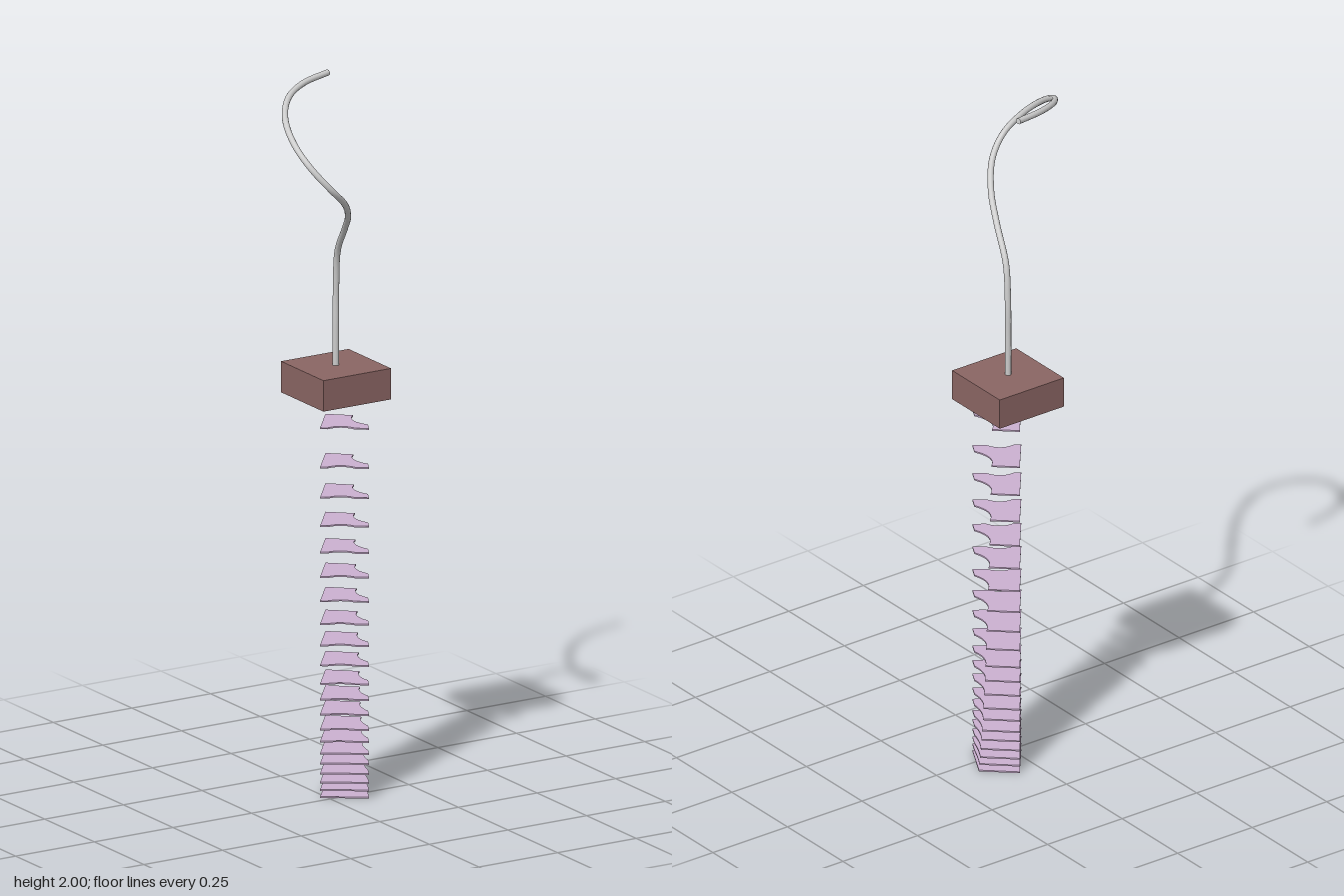
import * as THREE from 'three';

const V2 = (x, z) => new THREE.Vector2(x, -z);
const mix = (a, b, t) => a.clone().lerp(b, t);

// One thin sheet: a turned rectangle whose two front edges are bitten in as t goes 0 -> 1
function sheetGeometry(t) {
  const left = V2(-0.018, -0.022);
  const front = V2(0.09, 0.053);
  const back = V2(0.063, -0.124);
  const wideRight = V2(0.145, -0.05);
  const right = mix(wideRight, V2(0.119, -0.074), t);
  const centre = V2(0.062, -0.045);
  const shape = new THREE.Shape();
  const bite = (p, q, depth) => {
    const c = mix(mix(p, q, 0.5), centre, depth * t);
    shape.lineTo(p.x, p.y);
    shape.quadraticCurveTo(c.x, c.y, q.x, q.y);
  };
  shape.moveTo(left.x, left.y);
  bite(mix(left, front, 0.15), mix(left, front, 0.72), 0.5);
  shape.lineTo(front.x, front.y);
  bite(mix(front, wideRight, 0.3), right, 0.75);
  shape.lineTo(back.x, back.y);
  shape.closePath();
  return new THREE.ExtrudeGeometry(shape, { depth: 0.004, bevelEnabled: false, curveSegments: 6 })
    .rotateX(-Math.PI / 2);
}

export function createModel() {
  const model = new THREE.Group();

  // Block between the hook and the stack
  const block = new THREE.Mesh(
    new THREE.BoxGeometry(0.215, 0.087, 0.214),
    new THREE.MeshStandardMaterial({ color: 0x8a6563 })
  );
  block.name = 'block';
  block.position.set(0.0645, 1.147, -0.073);
  model.add(block);

  // Curling wire hook
  const path = new THREE.CatmullRomCurve3([
    [0.064, 1.18, -0.073], [0.064, 1.3, -0.073], [0.064, 1.41, -0.072], [0.056, 1.515, -0.052],
    [0.033, 1.6, 0.02], [0, 1.66, 0.09], [-0.05, 1.719, 0.15], [-0.105, 1.77, 0.172],
    [-0.15, 1.83, 0.142], [-0.165, 1.884, 0.082], [-0.143, 1.933, 0], [-0.085, 1.966, -0.074],
    [-0.01, 1.983, -0.118], [0.081, 1.992, -0.141]
  ].map(p => new THREE.Vector3(...p)));
  const grey = new THREE.MeshStandardMaterial({ color: 0xcccccc });
  const hook = new THREE.Mesh(new THREE.TubeGeometry(path, 96, 0.0085, 12), grey);
  hook.name = 'hook';
  model.add(hook);

  // Cap at the free end of the hook
  const cap = new THREE.Mesh(new THREE.CircleGeometry(0.0085, 12), grey);
  cap.name = 'hookEnd';
  const tip = path.getPointAt(1);
  cap.position.copy(tip);
  cap.lookAt(tip.clone().add(path.getTangentAt(1)));
  model.add(cap);

  // Stack of hanging sheets, wider apart towards the top
  const stack = new THREE.Group();
  stack.name = 'sheetStack';
  const lilac = new THREE.MeshStandardMaterial({ color: 0xcbb0d0 });
  const heights = [0, 0.02, 0.041, 0.066, 0.094, 0.122, 0.156, 0.19, 0.232, 0.274, 0.318,
    0.37, 0.426, 0.486, 0.55, 0.618, 0.687, 0.761, 0.841, 0.926, 1.036];
  heights.forEach((y, i) => {
    const sheet = new THREE.Mesh(sheetGeometry(i / (heights.length - 1)), lilac);
    sheet.name = 'sheet';
    sheet.position.y = y;
    stack.add(sheet);
  });
  model.add(stack);

  return model;
}
